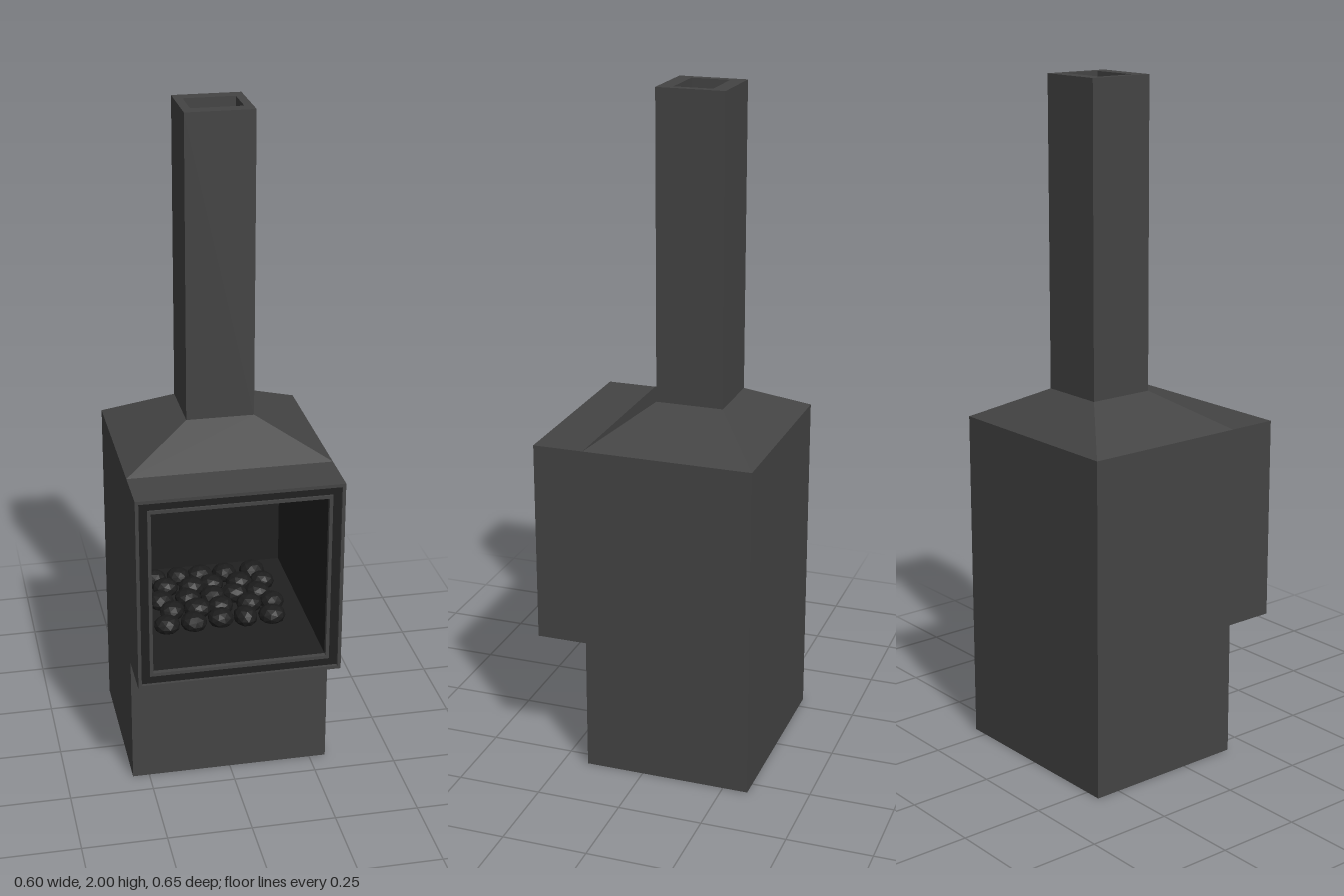
import * as THREE from 'three';

const steel = new THREE.MeshStandardMaterial({ color: 0x444444 });
const black = new THREE.MeshStandardMaterial({ color: 0x202020 });
const coal = new THREE.MeshStandardMaterial({ color: 0x1c1c1c, flatShading: true });

function rect(PathType, w, h) {
  return new PathType([[-w, -h], [w, -h], [w, h], [-w, h]].map(([x, y]) => new THREE.Vector2(x / 2, y / 2)));
}

// Rectangular tube along z, from z0 to z1
function ring(w, h, holeW, holeH, z0, z1) {
  const shape = rect(THREE.Shape, w, h);
  shape.holes.push(rect(THREE.Path, holeW, holeH));
  return new THREE.ExtrudeGeometry(shape, { depth: z1 - z0, bevelEnabled: false }).translate(0, 0, z0);
}

export function createModel() {
  const group = new THREE.Group();
  const add = (name, geometry, material, x = 0, y = 0, z = 0) => {
    const mesh = new THREE.Mesh(geometry, material);
    mesh.name = name;
    mesh.position.set(x, y, z);
    group.add(mesh);
    return mesh;
  };
  const axisZ = -0.075; // centre line of base, hood and flue
  const midY = 0.7; // middle of the firebox

  // Plinth and overhanging firebox shell
  add('base', new THREE.BoxGeometry(0.6, 0.4, 0.5), steel, 0, 0.2, axisZ);
  add('fireboxShell', ring(0.6, 0.6, 0.58, 0.58, -0.31, 0.325), steel, 0, midY);
  add('backPanel', new THREE.BoxGeometry(0.6, 0.6, 0.015), steel, 0, midY, -0.3175);

  // Dark lining, door surround and its thin inner trim
  add('fireboxLining', ring(0.58, 0.58, 0.51, 0.51, -0.305, 0.305), black, 0, midY);
  add('liningBack', new THREE.BoxGeometry(0.58, 0.58, 0.01), black, 0, midY, -0.305);
  add('doorSurround', ring(0.58, 0.58, 0.53, 0.53, 0.305, 0.315), black, 0, midY);
  add('doorTrim', ring(0.53, 0.53, 0.51, 0.51, 0.305, 0.32), steel, 0, midY);

  // Hood: a box whose top is drawn in to the flue
  const hood = new THREE.BoxGeometry(0.6, 0.1, 0.5).toNonIndexed();
  const p = hood.attributes.position;
  for (let i = 0; i < p.count; i++) {
    if (p.getY(i) > 0) p.setXYZ(i, p.getX(i) / 3, p.getY(i), p.getZ(i) * 0.4);
  }
  hood.computeVertexNormals();
  add('hood', hood, steel, 0, 1.05, axisZ);

  // Hollow flue
  add('flue', ring(0.2, 0.2, 0.15, 0.113, 0, 0.9).rotateX(-Math.PI / 2), steel, 0, 1.1, axisZ);

  // Bed of rounded coals in staggered rows
  let seed = 7;
  const rand = () => (seed = (seed * 16807) % 2147483647) / 2147483647;
  const lump = new THREE.IcosahedronGeometry(0.042, 1);
  for (let row = 0; row < 5; row++) {
    for (let col = 0; col < 5; col++) {
      const x = (col - 2) * 0.077 + (row % 2 ? 0.012 : -0.012) + (rand() - 0.5) * 0.015;
      const z = 0.075 - row * 0.072 + (rand() - 0.5) * 0.015;
      const mesh = add('coal', lump, coal, x, 0.462, z);
      mesh.scale.set(0.9 + rand() * 0.15, 0.65 + rand() * 0.1, 0.85 + rand() * 0.15);
      mesh.rotation.y = rand() * Math.PI;
    }
  }
  return group;
}
